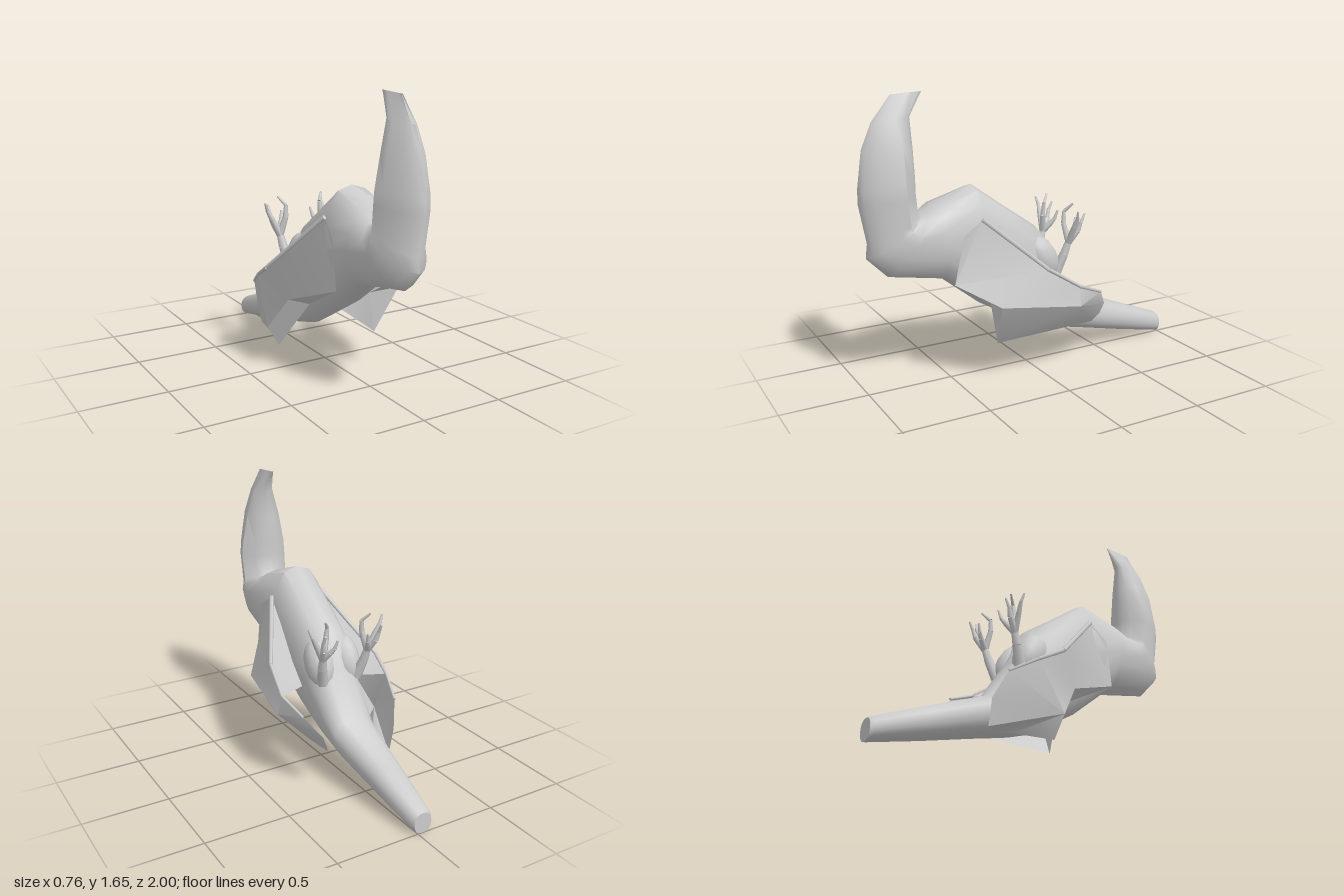
import * as THREE from 'three';
import { toCreasedNormals } from 'three/addons/utils/BufferGeometryUtils.js';

const CX = -0.03; // x of the body's plane of symmetry
const material = new THREE.MeshStandardMaterial({ color: 0xcccccc, side: THREE.DoubleSide });

function addMesh(parent, name, geometry, crease) {
  const mesh = new THREE.Mesh(crease ? toCreasedNormals(geometry, crease) : geometry, material);
  mesh.name = name;
  parent.add(mesh);
  return mesh;
}

function indexed(points, index) {
  const g = new THREE.BufferGeometry();
  g.setAttribute('position', new THREE.Float32BufferAttribute(points.flat(), 3));
  g.setIndex(index);
  g.computeVertexNormals();
  return g;
}

// Half outlines: [fraction from belly side to back side, fraction of half width]
const OVAL = Array.from({ length: 9 }, (_, i) => {
  const a = i / 8 * Math.PI;
  return [(1 - Math.cos(a)) / 2, Math.pow(Math.max(0, Math.sin(a)), 0.75)];
});
const RIDGED = [[0, 0], [0.03, 0.3], [0.1, 0.6], [0.31, 1], [0.46, 0.9], [0.63, 0.76], [0.8, 0.55], [0.94, 0.28], [1, 0]];

// Skin over mirrored sections.
// Station: [z, y of belly side, z, y of back side, half width, blend from oval to ridged].
function loft(stations) {
  const n = 16, points = [], index = [];
  for (const [z0, y0, z1, y1, w, ridge] of stations)
    for (let i = 0; i < n; i++) {
      const k = i <= 8 ? i : n - i, sign = i <= 8 ? 1 : -1;
      const v = THREE.MathUtils.lerp(OVAL[k][0], RIDGED[k][0], ridge);
      const u = THREE.MathUtils.lerp(OVAL[k][1], RIDGED[k][1], ridge);
      points.push([CX + sign * u * w, y0 + (y1 - y0) * v, z0 + (z1 - z0) * v]);
    }
  for (let s = 0; s < stations.length - 1; s++)
    for (let i = 0; i < n; i++) {
      const a = s * n + i, b = s * n + (i + 1) % n;
      index.push(a, b, a + n, b, b + n, a + n);
    }
  const last = (stations.length - 1) * n;
  for (let i = 1; i < n - 1; i++) index.push(0, i + 1, i, last, last + i, last + i + 1);
  return indexed(points, index);
}

// Tapered limb through a few points
function limb(parent, name, path, r0, r1) {
  const group = new THREE.Group();
  group.name = name;
  const pts = path.map(p => new THREE.Vector3(...p));
  for (let i = 0; i < pts.length - 1; i++) {
    const dir = pts[i + 1].clone().sub(pts[i]), k = pts.length - 1;
    const ra = THREE.MathUtils.lerp(r0, r1, i / k), rb = THREE.MathUtils.lerp(r0, r1, (i + 1) / k);
    const m = addMesh(group, name + 'Segment', new THREE.CylinderGeometry(rb, ra, dir.length(), 6));
    m.position.copy(pts[i]).addScaledVector(dir, 0.5);
    m.quaternion.setFromUnitVectors(new THREE.Vector3(0, 1, 0), dir.normalize());
  }
  parent.add(group);
}

// Folded wing: shoulder panel, lower feather panel, rounded tip and inner web to the flank
function wing(parent, name, p) {
  const keys = Object.keys(p);
  const faces = ['abc', 'ace', 'aep', 'pef', 'pfw', 'pwq', 'qwr', 'fgw', 'wgh', 'whi', 'wij', 'wjr', 'pqk', 'apk', 'cme', 'mfe'];
  const group = new THREE.Group();
  group.name = name;
  addMesh(group, 'feathers', indexed(keys.map(k => p[k]),
    faces.flatMap(f => [...f].map(k => keys.indexOf(k)))), 0.6);
  limb(group, 'wingBone', [p.c, p.e, p.f, p.g], 0.014, 0.008);
  parent.add(group);
}

export function createModel() {
  const bird = new THREE.Group();
  bird.name = 'birdOnItsBack';

  // Curved beak, head, body and tail in one skin
  addMesh(bird, 'beakHeadBodyAndTail', loft([
    [0.62, 1.66, 0.80, 1.65, 0.004, 1],
    [0.695, 1.53, 0.91, 1.51, 0.062, 1],
    [0.685, 1.36, 0.97, 1.37, 0.11, 1],
    [0.68, 1.2, 1.0, 1.16, 0.146, 1],
    [0.68, 1.12, 1.0, 1.08, 0.152, 1],
    [0.67, 1.01, 0.96, 0.86, 0.148, 0.95],
    [0.66, 1.0, 0.97, 0.78, 0.155, 0.9],
    [0.63, 1.015, 0.85, 0.66, 0.168, 0.65],
    [0.58, 1.05, 0.54, 0.61, 0.175, 0],
    [0.34, 1.13, 0.30, 0.42, 0.175, 0],
    [0.13, 0.98, 0.06, 0.28, 0.172, 0],
    [-0.07, 0.84, -0.03, 0.23, 0.16, 0],
    [-0.16, 0.64, -0.16, 0.19, 0.15, 0],
    [-0.32, 0.39, -0.35, 0.155, 0.138, 0],
    [-0.68, 0.255, -0.68, 0.075, 0.1, 0],
    [-0.98, 0.137, -0.98, 0.008, 0.066, 0],
    [-1.0, 0.125, -1.0, 0.005, 0.055, 0],
  ]), 0.9);

  // Wings, the left one turned further out than the right
  wing(bird, 'leftWing', {
    a: [0.15, 0.61, 0.53], b: [0.155, 0.88, 0.47], c: [0.14, 0.96, 0.35],
    e: [0.32, 0.67, 0.03], f: [0.35, 0.55, -0.16], g: [0.31, 0.48, -0.33],
    h: [0.23, 0.37, -0.41], i: [0.2, 0.3, -0.4], j: [0.17, 0.245, -0.36],
    r: [0.19, 0.25, -0.18], w: [0.375, 0.44, -0.15], p: [0.31, 0.49, 0.32],
    q: [0.17, 0.23, 0.28], k: [0.12, 0.48, 0.3], m: [0.13, 0.5, 0],
  });
  wing(bird, 'rightWing', {
    a: [-0.2, 0.58, 0.46], b: [-0.205, 0.86, 0.43], c: [-0.19, 0.96, 0.32],
    e: [-0.37, 0.62, -0.03], f: [-0.35, 0.54, -0.18], g: [-0.3, 0.45, -0.34],
    h: [-0.25, 0.3, -0.41], i: [-0.22, 0.15, -0.41], j: [-0.17, 0.14, -0.34],
    r: [-0.2, 0.15, -0.25], w: [-0.37, 0.255, -0.03], p: [-0.3, 0.45, 0.1],
    q: [-0.29, 0.13, -0.04], k: [-0.19, 0.42, 0.15], m: [-0.19, 0.5, 0],
  });

  // Legs reaching up, each with four curled toes
  for (const side of [1, -1]) {
    const leg = new THREE.Group();
    leg.name = side > 0 ? 'leftLeg' : 'rightLeg';
    const at = (x, y, z) => [CX + side * x, y, z];
    const thigh = addMesh(leg, 'thigh', new THREE.SphereGeometry(1, 12, 8));
    thigh.scale.set(0.085, 0.15, 0.095);
    thigh.rotation.x = 0.5;
    thigh.position.set(...at(0.088, 0.66, -0.075));
    limb(leg, 'shin', [at(0.115, 0.57, -0.16), at(0.14, 0.68, -0.2), at(0.15, 0.76, -0.225)], 0.034, 0.02);
    const toes = [
      [[0.2, 0.85, -0.23], [0.225, 0.9, -0.235], [0.245, 0.95, -0.225]],
      [[0.175, 0.82, -0.27], [0.185, 0.87, -0.285], [0.185, 0.92, -0.31]],
      [[0.125, 0.8, -0.265], [0.11, 0.83, -0.285], [0.1, 0.88, -0.3]],
      [[0.12, 0.86, -0.205], [0.115, 0.93, -0.21], [0.15, 0.98, -0.25]],
    ];
    for (const t of toes)
      limb(leg, 'toe', [at(0.15, 0.75, -0.222), ...t.map(q => at(...q))], 0.022, 0.006);
    bird.add(leg);
  }
  return bird;
}
